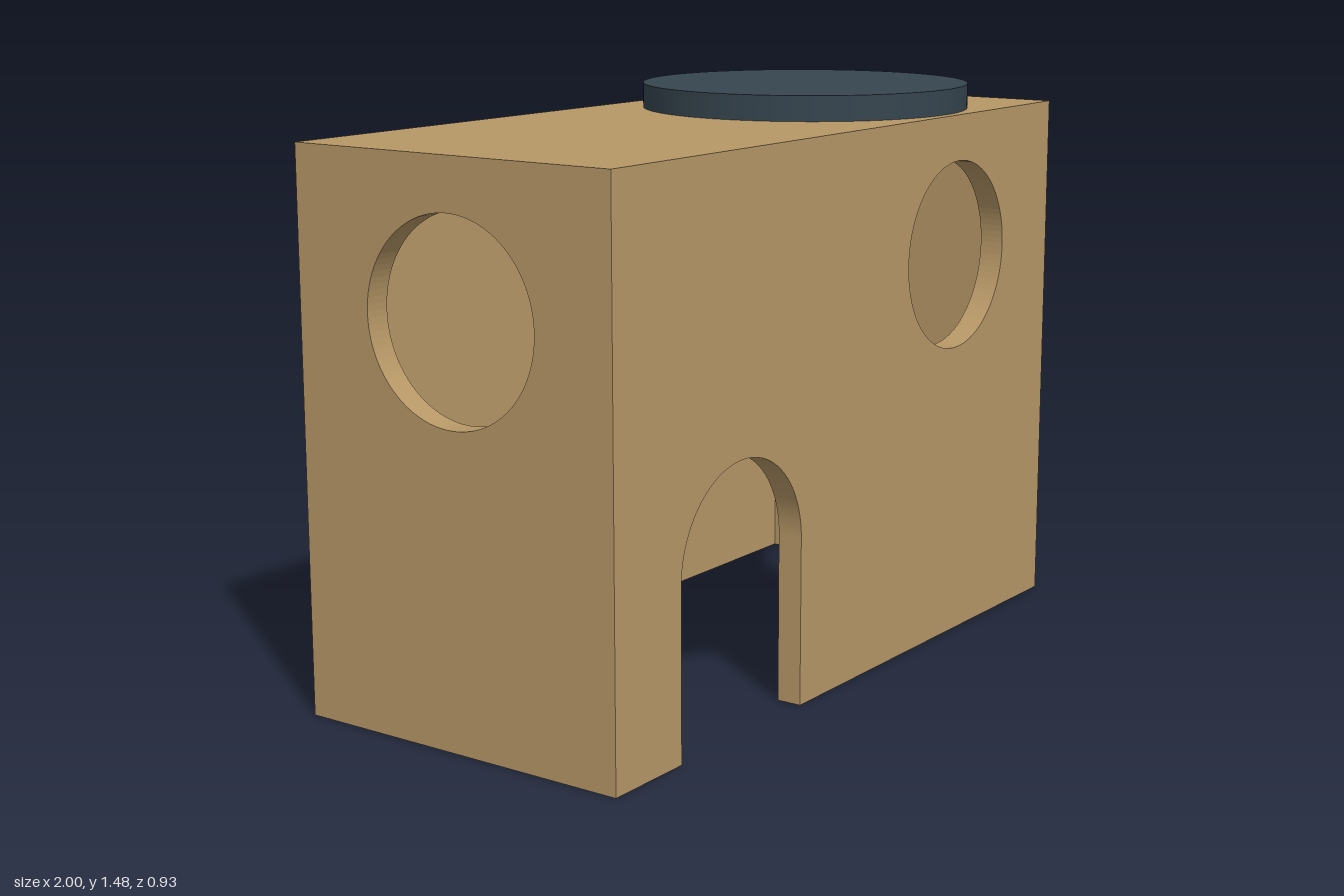
import * as THREE from 'three';

const WALL = 0.066, WALL_H = 1.355, LENGTH = 2, DEPTH = 0.934, LID = 0.056;

export function createModel() {
  const model = new THREE.Group();
  model.name = 'shelterBox';
  const wood = new THREE.MeshStandardMaterial({ color: 0xb79867 });
  wood.name = 'tan wood';
  const charcoal = new THREE.MeshStandardMaterial({ color: 0x36454f });
  charcoal.name = 'charcoal';

  const add = (name, geometry, material, x, y, z) => {
    const mesh = new THREE.Mesh(geometry, material);
    mesh.name = name;
    mesh.position.set(x, y, z);
    model.add(mesh);
    return mesh;
  };
  const extrude = (shape) =>
    new THREE.ExtrudeGeometry(shape, { depth: WALL, bevelEnabled: false, curveSegments: 48 });
  const roundHole = (x, y) => new THREE.Path().absarc(x, y, 0.25, 0, Math.PI * 2, true);

  // Front wall: arched doorway open at the floor, round window
  const front = new THREE.Shape();
  front.moveTo(-LENGTH / 2, 0);
  front.lineTo(-0.75, 0);
  front.lineTo(-0.75, 0.43);
  front.absarc(-0.5, 0.43, 0.25, Math.PI, 0, true);
  front.lineTo(-0.25, 0);
  front.lineTo(LENGTH / 2, 0);
  front.lineTo(LENGTH / 2, WALL_H);
  front.lineTo(-LENGTH / 2, WALL_H);
  front.closePath();
  front.holes.push(roundHole(0.495, 1.04));
  add('frontWall', extrude(front), wood, 0, 0, DEPTH / 2 - WALL);

  // Plain back wall
  add('backWall', new THREE.BoxGeometry(LENGTH, WALL_H, WALL), wood,
    0, WALL_H / 2, -DEPTH / 2 + WALL / 2);

  // End walls fitted between front and back, each with a round hole
  const halfInner = DEPTH / 2 - WALL;
  const endWall = (name, x, holeY) => {
    const shape = new THREE.Shape();
    shape.moveTo(-halfInner, 0);
    shape.lineTo(halfInner, 0);
    shape.lineTo(halfInner, WALL_H);
    shape.lineTo(-halfInner, WALL_H);
    shape.closePath();
    shape.holes.push(roundHole(0, holeY));
    add(name, extrude(shape), wood, x, 0, 0).rotation.y = Math.PI / 2;
  };
  endWall('leftWall', LENGTH / 2 - WALL, 0.33);
  endWall('rightWall', -LENGTH / 2, 1.03);

  // Lid and the round disc resting on it
  add('lid', new THREE.BoxGeometry(LENGTH, LID, DEPTH), wood, 0, WALL_H + LID / 2, 0);
  add('topDisc', new THREE.CylinderGeometry(0.44, 0.44, 0.066, 96), charcoal,
    0.467, WALL_H + LID + 0.033, 0);

  return model;
}
